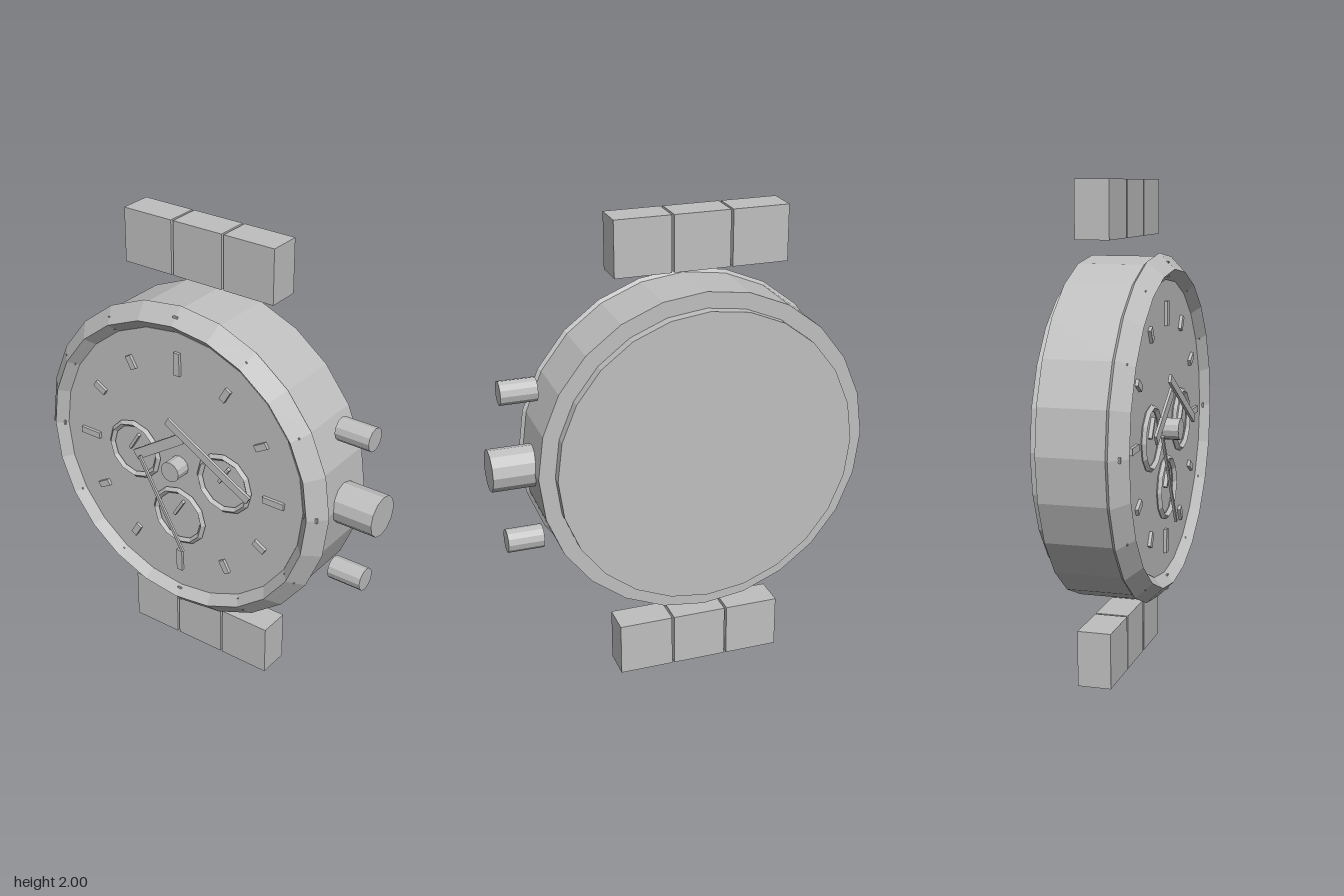
import * as THREE from 'three';

export function createModel() {
  const model = new THREE.Group();
  model.name = 'wristwatch';
  const metal = new THREE.MeshStandardMaterial({ color: 0xbfbfbf, flatShading: true });
  metal.name = 'grey metal';

  const add = (parent, name, geometry, x = 0, y = 0, z = 0) => {
    const mesh = new THREE.Mesh(geometry, metal);
    mesh.name = name;
    mesh.position.set(x, y, z);
    parent.add(mesh);
    return mesh;
  };
  // Disc with its axis along z, between two depths
  const disc = (parent, name, r, z0, z1, sides, x = 0, y = 0) =>
    add(parent, name, new THREE.CylinderGeometry(r, r, z1 - z0, sides).rotateX(Math.PI / 2), x, y, (z0 + z1) / 2);
  // Flat bar between two points on the face
  const bar = (parent, name, ax, ay, bx, by, width, z0, z1) => {
    const length = Math.hypot(bx - ax, by - ay);
    const mesh = add(parent, name, new THREE.BoxGeometry(length, width, z1 - z0),
      (ax + bx) / 2, (ay + by) / 2, (z0 + z1) / 2);
    mesh.rotation.z = Math.atan2(by - ay, bx - ax);
  };

  // Everything round is placed about the centre of the case
  const watch = new THREE.Group();
  watch.name = 'watchHead';
  watch.position.set(-0.08, 1, 0);
  model.add(watch);

  disc(watch, 'case', 0.697, -0.167, 0.11, 24);
  disc(watch, 'caseBack', 0.63, -0.21, -0.16, 24);
  disc(watch, 'dial', 0.605, 0.1, 0.14, 24);
  add(watch, 'bezel', new THREE.TorusGeometry(0.646, 0.064, 4, 24), 0, 0, 0.115);
  disc(watch, 'centrePin', 0.045, 0.13, 0.207, 12);

  // Hour markers on the dial and small pips through the bezel ridge
  for (let i = 0; i < 12; i++) {
    const a = i * Math.PI / 6, c = Math.cos(a), s = Math.sin(a);
    const main = i % 3 === 0;
    const h = main ? 0.05 : 0.03;
    bar(watch, 'hourMarker', c * (0.47 - h), s * (0.47 - h), c * (0.47 + h), s * (0.47 + h), 0.028, 0.135, 0.153);
    const p = main ? 0.032 : 0.029;
    bar(watch, 'bezelPip', c * (0.646 - p), s * (0.646 - p), c * (0.646 + p), s * (0.646 + p),
      main ? 0.022 : 0.008, 0.145, 0.154);
  }

  // Three sub-dials, each with a ring and a small hand
  for (const [x, y] of [[-0.23, 0], [0.23, 0], [0, -0.243]]) {
    add(watch, 'subDialRing', new THREE.TorusGeometry(0.122, 0.014, 4, 12), x, y, 0.146);
    bar(watch, 'subDialHand', x - 0.022, y + 0.003, x + 0.024, y + 0.078, 0.013, 0.138, 0.156);
  }

  // Main hands
  bar(watch, 'hourHand', -0.212, -0.012, 0.03, 0.148, 0.045, 0.155, 0.166);
  bar(watch, 'minuteHand', -0.038, 0.212, 0.366, -0.018, 0.034, 0.164, 0.176);
  bar(watch, 'secondHand', -0.18, 0.0, 0.04, -0.395, 0.013, 0.173, 0.183);

  // Crown and pushers, with axes along x
  const knob = (name, r, x0, x1, y) =>
    add(model, name, new THREE.CylinderGeometry(r, r, x1 - x0, 12).rotateZ(Math.PI / 2), (x0 + x1) / 2, y, -0.024);
  knob('crown', 0.087, 0.59, 0.785, 1.003);
  knob('upperPusher', 0.049, 0.58, 0.73, 1.328);
  knob('lowerPusher', 0.049, 0.58, 0.73, 0.678);

  // Band links above and below the case
  for (const y of [1.886, 0.114])
    for (const i of [-1, 0, 1])
      add(model, 'bandLink', new THREE.BoxGeometry(0.231, 0.228, 0.138), -0.077 + i * 0.241, y, -0.054);

  return model;
}
